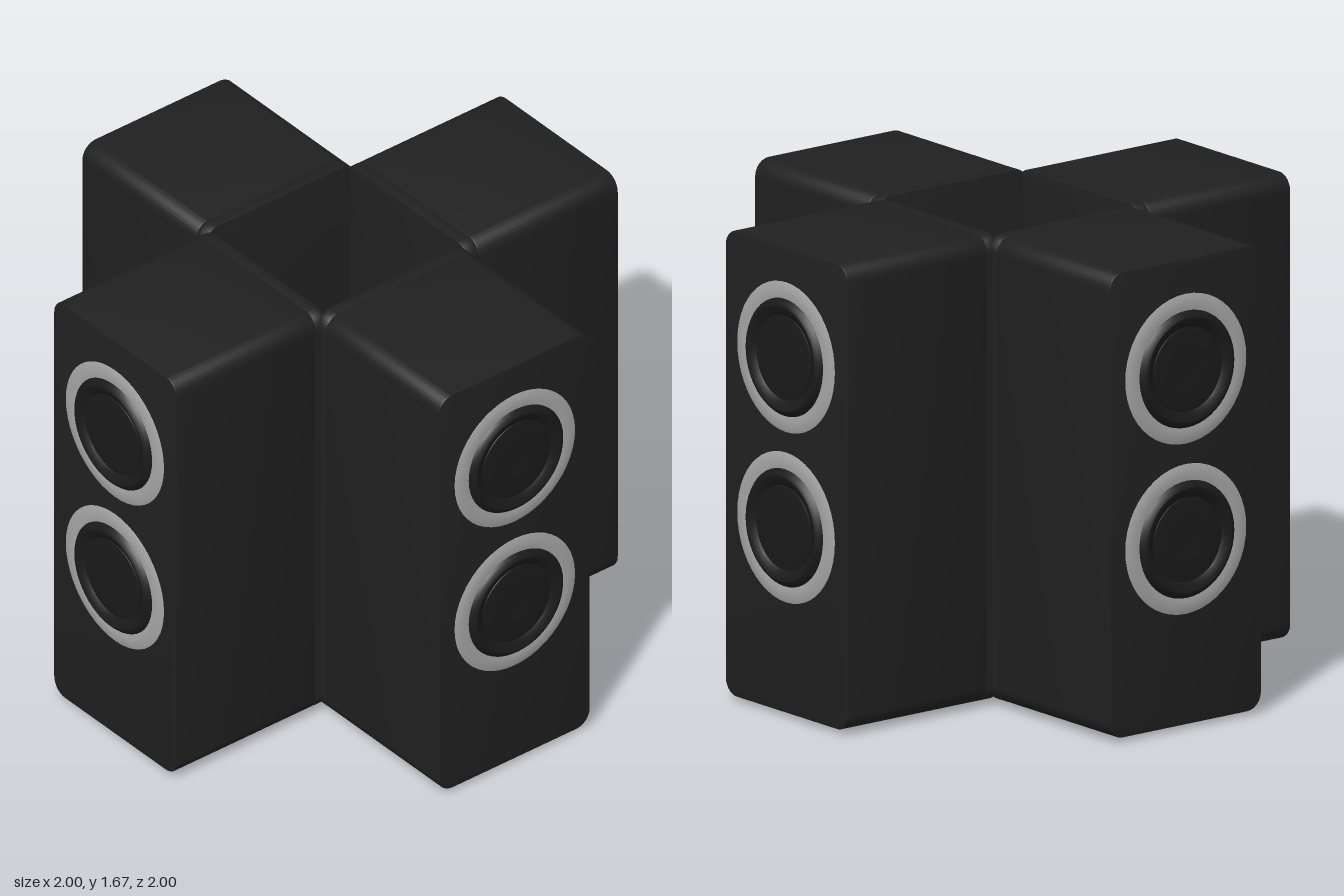
import * as THREE from 'three';
import { toCreasedNormals } from 'three/addons/utils/BufferGeometryUtils.js';

const mat = (name, color) => {
  const m = new THREE.MeshStandardMaterial({ color });
  m.name = name;
  return m;
};

// Upright rounded slab running from z0 to z1, with fine bevelled rims
function slab(w, y0, y1, z0, z1, r, bevel) {
  const x = w / 2 - bevel, b = y0 + bevel, t = y1 - bevel;
  const s = new THREE.Shape();
  s.moveTo(-x + r, b);
  s.lineTo(x - r, b);
  s.absarc(x - r, b + r, r, -Math.PI / 2, 0);
  s.lineTo(x, t - r);
  s.absarc(x - r, t - r, r, 0, Math.PI / 2);
  s.lineTo(-x + r, t);
  s.absarc(-x + r, t - r, r, Math.PI / 2, Math.PI);
  s.lineTo(-x, b + r);
  s.absarc(-x + r, b + r, r, Math.PI, Math.PI * 1.5);
  const g = new THREE.ExtrudeGeometry(s, {
    depth: z1 - z0 - 2 * bevel, bevelEnabled: true, bevelThickness: bevel,
    bevelSize: bevel, bevelSegments: 2, curveSegments: 8,
  });
  g.translate(0, 0, z0 + bevel);
  return toCreasedNormals(g, 0.6);
}

// Revolved [radius, z] profile facing +z, listed from the rim inwards
function turned(points) {
  const g = new THREE.LatheGeometry(points.map(([r, z]) => new THREE.Vector2(r, z)), 48);
  g.rotateX(Math.PI / 2);
  return toCreasedNormals(g, 0.45);
}

export function createModel() {
  const black = mat('cabinet black', 0x202020);
  const rubber = mat('driver black', 0x1a1a1a);
  const silver = mat('silver trim', 0xa6a6a6);

  const cabinetGeo = slab(0.668, 0.015, 1.67, 0.357, 0.975, 0.055, 0.006);
  const backGeo = slab(0.668, 0.015, 1.67, 0.308, 0.357, 0.055, 0.005);
  const ringGeo = turned([[0.268, 0.97], [0.266, 0.976], [0.25, 0.981], [0.225, 0.983], [0.205, 0.98]]);
  const surroundGeo = turned([
    [0.21, 0.975], [0.207, 0.984], [0.198, 0.994], [0.187, 1.0], [0.176, 0.998],
    [0.163, 0.99], [0.152, 0.984], [0.148, 0.98],
  ]);
  const coneGeo = turned([[0.151, 0.978], [0.149, 0.986], [0.14, 0.988], [0.07, 0.986], [0, 0.985]]);
  const footGeo = new THREE.CylinderGeometry(0.058, 0.055, 0.025, 24);

  const model = new THREE.Group();
  model.name = 'speakerCluster';

  // Four identical speakers facing outwards
  for (let i = 0; i < 4; i++) {
    const speaker = new THREE.Group();
    speaker.name = 'speaker' + (i + 1);
    const add = (name, geo, material, x = 0, y = 0, z = 0) => {
      const m = new THREE.Mesh(geo, material);
      m.name = name;
      m.position.set(x - 0.003, y, z);
      speaker.add(m);
    };
    add('cabinet', cabinetGeo, black);
    add('backPanel', backGeo, black);

    // Upper and lower drivers
    for (const [label, y] of [['upper', 1.28], ['lower', 0.675]]) {
      add(label + 'TrimRing', ringGeo, silver, 0, y);
      add(label + 'Surround', surroundGeo, rubber, 0, y);
      add(label + 'Cone', coneGeo, rubber, 0, y);
    }

    // Low round feet
    for (const x of [-0.18, 0.18])
      for (const z of [0.44, 0.85]) add('foot', footGeo, black, x, 0.0125, z);

    speaker.rotation.y = (i * Math.PI) / 2;
    model.add(speaker);
  }
  return model;
}
